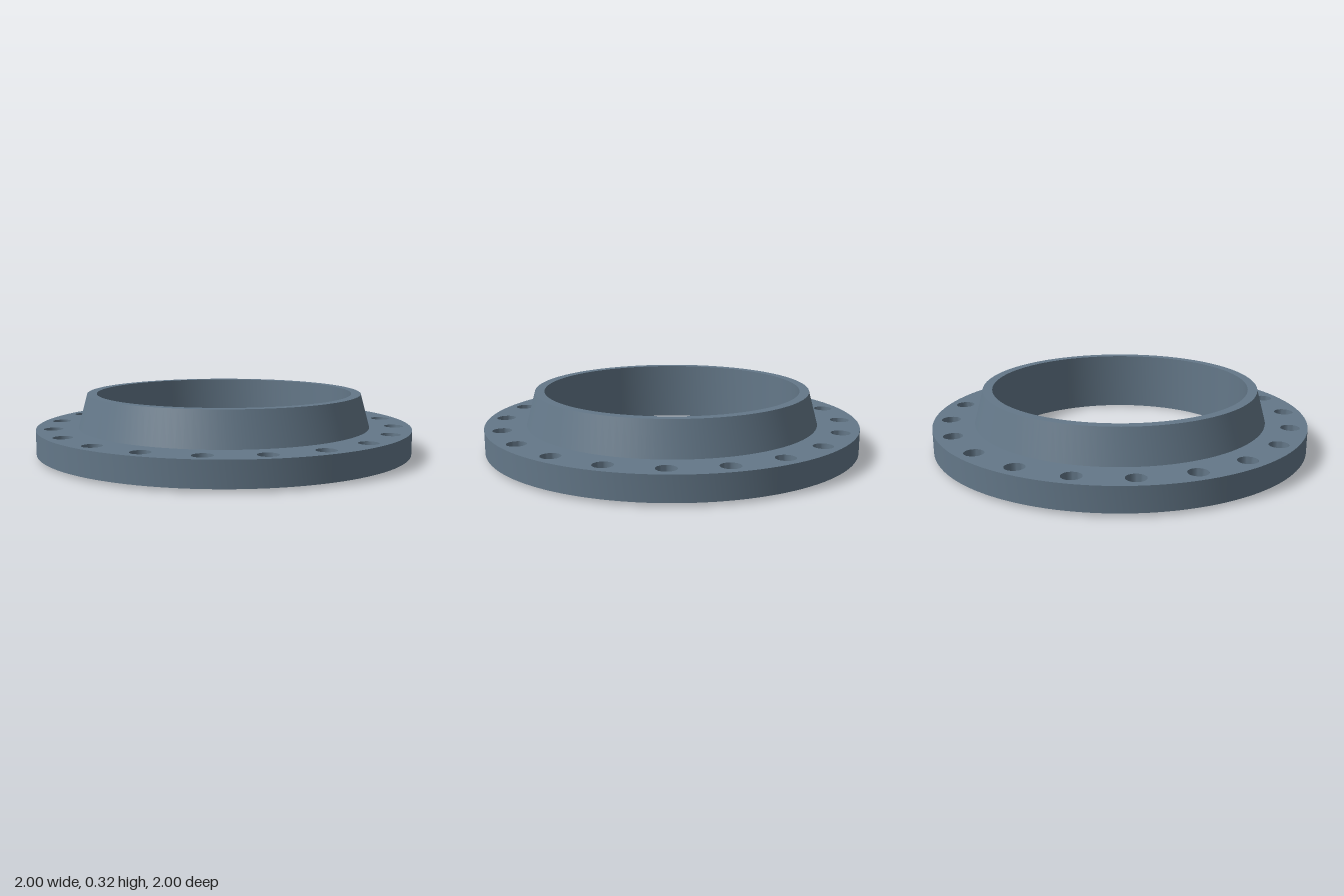
import * as THREE from 'three';
import { toCreasedNormals } from 'three/addons/utils/BufferGeometryUtils.js';

const SEGMENTS = 128, HOLE_SEGMENTS = 32;
const BORE = 0.682, NECK_TOP = 0.732, NECK_BASE = 0.78, FACE = 0.843, RIM = 1;
const FACE_Y = 0.015, PLATE_Y = 0.142, TOP_Y = 0.318;
const BOLTS = 20, BOLT_CIRCLE = 0.91, BOLT_RADIUS = 0.05;

const material = new THREE.MeshStandardMaterial({ color: 0x647889 });

function part(name, geometry) {
  const mesh = new THREE.Mesh(geometry, material);
  mesh.name = name;
  return mesh;
}

// Sharp-edged surface of revolution from [radius, y] pairs
function turned(profile, segments) {
  const points = profile.map(([r, y]) => new THREE.Vector2(r, y));
  return toCreasedNormals(new THREE.LatheGeometry(points, segments), 0.6);
}

function circle(radius, segments, cx = 0, cy = 0) {
  return Array.from({ length: segments }, (_, i) => {
    const a = (i / segments) * Math.PI * 2;
    return new THREE.Vector2(cx + radius * Math.cos(a), cy + radius * Math.sin(a));
  });
}

function boltCentres() {
  return circle(BOLT_CIRCLE, BOLTS);
}

// Flat ring pierced by the bolt holes
function drilledRing(innerRadius) {
  const shape = new THREE.Shape(circle(RIM, SEGMENTS));
  shape.holes.push(new THREE.Path(circle(innerRadius, SEGMENTS)));
  for (const c of boltCentres()) {
    shape.holes.push(new THREE.Path(circle(BOLT_RADIUS, HOLE_SEGMENTS, c.x, c.y)));
  }
  return new THREE.ShapeGeometry(shape);
}

export function createModel() {
  const model = new THREE.Group();
  model.name = 'weldNeckFlange';

  // Tapered neck, through bore and raised sealing face
  model.add(part('neckAndRaisedFace', turned([
    [NECK_BASE, PLATE_Y], [NECK_TOP, TOP_Y], [BORE, TOP_Y],
    [BORE, 0], [FACE, 0], [FACE, FACE_Y],
  ], SEGMENTS)));

  // Bolting plate: rim, top and underside
  const plate = new THREE.Group();
  plate.name = 'boltingPlate';
  plate.add(part('rim', turned([[RIM, FACE_Y], [RIM, PLATE_Y]], SEGMENTS)));
  plate.add(part('plateTop',
    drilledRing(NECK_BASE).rotateX(-Math.PI / 2).translate(0, PLATE_Y, 0)));
  plate.add(part('plateUnderside',
    drilledRing(FACE).rotateX(Math.PI / 2).translate(0, FACE_Y, 0)));
  model.add(plate);

  // Inward-facing bolt hole walls
  const wall = turned([[BOLT_RADIUS, PLATE_Y], [BOLT_RADIUS, FACE_Y]], HOLE_SEGMENTS);
  const holes = new THREE.Group();
  holes.name = 'boltHoles';
  for (const c of boltCentres()) {
    const hole = part('boltHole', wall);
    hole.position.set(c.x, 0, c.y);
    holes.add(hole);
  }
  model.add(holes);

  return model;
}
